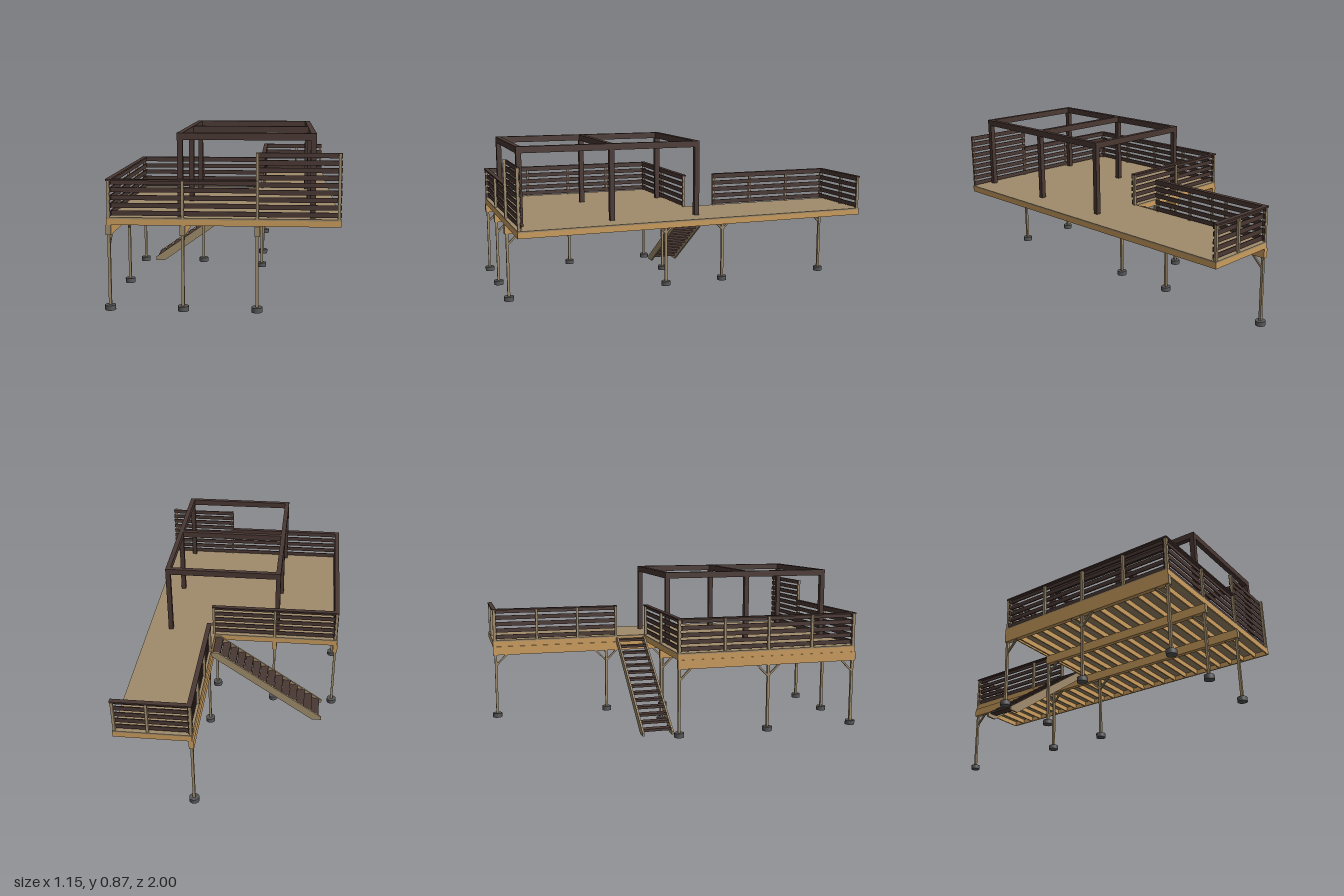
import * as THREE from 'three';

export function createModel() {
  const root = new THREE.Group();
  const mat = (name, color) => {
    const m = new THREE.MeshStandardMaterial({ color });
    m.name = name;
    return m;
  };
  const tan = mat('weathered wood', 0xa08c6c);
  const orange = mat('framing lumber', 0xcb9d5e);
  const brown = mat('dark stained wood', 0x4a3833);
  const grey = mat('concrete', 0x58585a);

  const group = (name) => {
    const g = new THREE.Group();
    g.name = name;
    root.add(g);
    return g;
  };
  // Box given by its lower and upper limits on each axis
  const box = (parent, name, material, x0, x1, y0, y1, z0, z1) => {
    const m = new THREE.Mesh(new THREE.BoxGeometry(x1 - x0, y1 - y0, z1 - z0), material);
    m.position.set((x0 + x1) / 2, (y0 + y1) / 2, (z0 + z1) / 2);
    m.name = name;
    parent.add(m);
    return m;
  };

  // Deck surface
  const deck = group('deck');
  box(deck, 'mainDeck', tan, -0.56, 0.57, 0.454, 0.462, -0.07, 0.98);
  box(deck, 'walkwayDeck', tan, 0.165, 0.57, 0.454, 0.462, -0.99, -0.07);

  // Rim boards and joists
  const frame = group('floorFrame');
  const rim = (...b) => box(frame, 'rimBoard', orange, b[0], b[1], 0.425, 0.454, b[2], b[3]);
  rim(-0.56, 0.57, 0.972, 0.98);
  rim(-0.56, 0.165, -0.07, -0.062);
  rim(-0.56, -0.552, -0.062, 0.972);
  rim(0.562, 0.57, -0.982, 0.972);
  rim(0.165, 0.173, -0.982, -0.062);
  rim(0.165, 0.57, -0.99, -0.982);
  for (let i = 1; i < 25; i++) {
    const z = -0.986 + i * 0.0785;
    box(frame, 'joist', orange, z < -0.06 ? 0.173 : -0.552, 0.562, 0.425, 0.454, z - 0.004, z + 0.004);
  }

  // Beams, support posts, knee braces and footings
  const supports = group('supports');
  const rows = [
    { x: -0.55, z0: -0.07, z: [-0.06, 0.455, 0.97] },
    { x: -0.19, z0: -0.07, z: [-0.06, 0.97] },
    { x: 0.17, z0: -0.99, z: [-0.975, -0.31, 0.05, 0.97] },
  ];
  const footing = new THREE.CylinderGeometry(0.027, 0.027, 0.025, 20);
  const braceGeo = new THREE.BoxGeometry(0.01, 0.095, 0.01);
  for (const { x, z0, z: posts } of rows) {
    box(supports, 'beam', orange, x - 0.013, x + 0.013, 0.375, 0.425, z0, 0.98);
    box(supports, 'beamEnd', tan, x - 0.013, x + 0.013, 0.375, 0.425, 0.98, 0.984);
    posts.forEach((z, i) => {
      box(supports, 'supportPost', tan, x - 0.007, x + 0.007, 0.02, 0.376, z - 0.007, z + 0.007);
      const f = new THREE.Mesh(footing, grey);
      f.name = 'footing';
      f.position.set(x, 0.0125, z);
      supports.add(f);
      for (const s of [-1, 1]) {
        if ((s < 0 && i === 0) || (s > 0 && i === posts.length - 1)) continue;
        const b = new THREE.Mesh(braceGeo, tan);
        b.name = 'kneeBrace';
        b.position.set(x, 0.345, z + s * 0.034);
        b.rotation.x = s * Math.PI / 4;
        supports.add(b);
      }
    });
  }

  // Railing run along x or z: boards on the inner side, posts on the outer side
  function railing(name, axis, a, b, at, inward, posts, { count = 5, top = 0.633, step = 0.038, cap = true } = {}) {
    const g = group(name);
    const put = (part, material, p0, p1, y0, y1, q0, q1) => {
      const lo = Math.min(q0, q1), hi = Math.max(q0, q1);
      if (axis === 'x') box(g, part, material, p0, p1, y0, y1, lo, hi);
      else box(g, part, material, lo, hi, y0, y1, p0, p1);
    };
    for (let i = 0; i < count; i++) {
      const y = top - i * step;
      put('railBoard', brown, a, b, y - 0.012, y + 0.012, at + inward * 0.007, at + inward * 0.013);
    }
    if (cap) put('railCap', brown, a, b, 0.64, 0.648, at - inward * 0.011, at + inward * 0.015);
    for (const p of posts)
      put('railPost', tan, p - 0.007, p + 0.007, 0.455, top + 0.012, at - inward * 0.007, at + inward * 0.007);
  }
  railing('frontRailing', 'x', -0.56, 0.17, 0.972, -1, [-0.55, -0.19, 0.17]);
  railing('rightRailing', 'z', -0.07, 0.98, -0.55, 1, [-0.06, 0.2, 0.455, 0.715, 0.97]);
  railing('backRailing', 'x', -0.56, 0.18, -0.06, 1, [-0.55, -0.19, 0.17]);
  railing('walkwaySideRailing', 'z', -0.985, -0.24, 0.17, 1, [-0.975, -0.73, -0.485, -0.248]);
  railing('walkwayEndRailing', 'x', 0.16, 0.57, -0.98, 1, [0.17, 0.39, 0.56]);
  railing('privacyScreen', 'x', 0.165, 0.572, 0.972, -1, [0.17, 0.56],
    { count: 9, top: 0.766, step: 0.0357, cap: false });

  // Open pergola frame
  const pergola = group('pergola');
  const px = [-0.202, 0.435], pz = [-0.027, 0.455, 0.942], h = 0.0135;
  for (const x of px) {
    box(pergola, 'pergolaSideBeam', brown, x - h, x + h, 0.836, 0.87, pz[0] - h, pz[2] + h);
    for (const z of pz) box(pergola, 'pergolaPost', brown, x - h, x + h, 0.46, 0.837, z - h, z + h);
  }
  for (const z of pz)
    box(pergola, 'pergolaCrossBeam', brown, px[0] + h, px[1] - h, 0.836, 0.87, z - h, z + h);

  // Stairs with sloped stringers and open treads
  const stairs = group('stairs');
  const side = new THREE.Shape([
    [-0.49, 0], [-0.435, 0], [0.165, 0.424], [0.165, 0.45], [0.127, 0.45], [-0.49, 0.02],
  ].map(([x, y]) => new THREE.Vector2(x, y)));
  const stringer = new THREE.ExtrudeGeometry(side, { depth: 0.01, bevelEnabled: false });
  for (const z of [-0.248, -0.082]) {
    const m = new THREE.Mesh(stringer, tan);
    m.name = 'stringer';
    m.position.z = z;
    stairs.add(m);
  }
  for (let i = 0; i < 14; i++) {
    const x = -0.452 + i * 0.0452, y = 0.028 + i * 0.0316;
    box(stairs, 'tread', brown, x - 0.0225, x + 0.0225, y - 0.007, y + 0.007, -0.239, -0.081);
  }
  return root;
}
